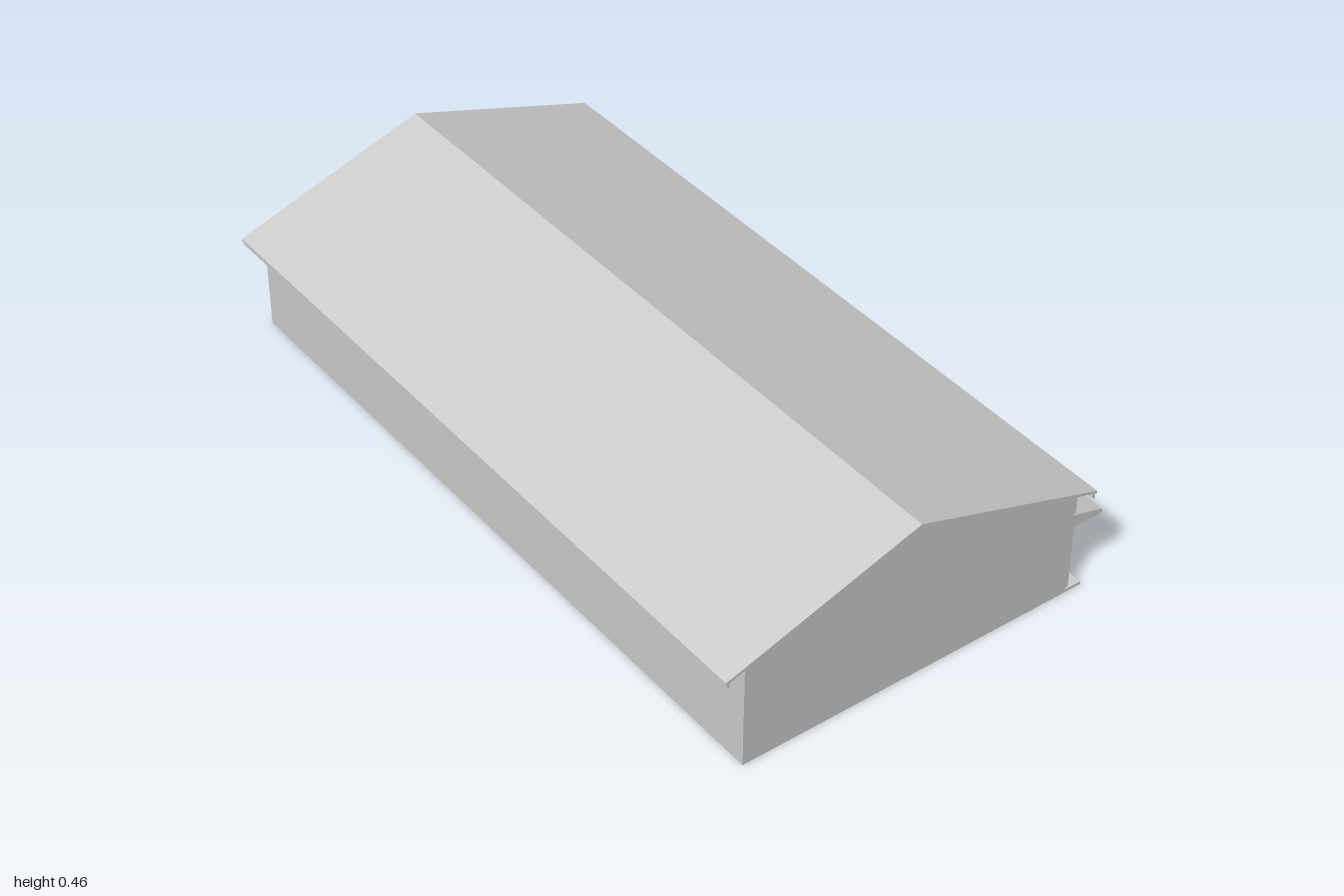
import * as THREE from 'three';

const grey = new THREE.MeshStandardMaterial({ color: 0xcccccc });
grey.name = 'pale grey';

export function createModel() {
  const model = new THREE.Group();
  model.name = 'hall';

  const add = (name, geometry) => {
    const mesh = new THREE.Mesh(geometry, grey);
    mesh.name = name;
    model.add(mesh);
    return mesh;
  };
  // Box given by its limits on each axis
  const box = (name, x0, x1, y0, y1, z0, z1) =>
    add(name, new THREE.BoxGeometry(x1 - x0, y1 - y0, z1 - z0)
      .translate((x0 + x1) / 2, (y0 + y1) / 2, (z0 + z1) / 2));
  // Cross-section of [z, y] points swept from x0 to x1
  const sweep = (name, points, x0, x1) => {
    const shape = new THREE.Shape(points.map(([z, y]) => new THREE.Vector2(z, y)));
    const geometry = new THREE.ExtrudeGeometry(shape, { depth: x1 - x0, bevelEnabled: false });
    return add(name, geometry.rotateY(-Math.PI / 2).translate(x1, 0, 0));
  };

  const RIDGE = 0.018, SLOPE = 0.324, FRONT = 0.487, BACK = -0.445;
  const under = z => 0.447 - SLOPE * Math.abs(z - RIDGE);

  // Main body, gable end walls and the part around the open porch
  const gable = back => [
    [FRONT, 0], [FRONT, under(FRONT)], [RIDGE, under(RIDGE)], [back, under(back)], [back, 0],
  ];
  sweep('mainHall', gable(BACK), -0.72, 0.978);
  sweep('leftGableWall', gable(-0.453), 0.978, 0.99);
  sweep('rightGableWall', gable(-0.453), -0.99, -0.972);
  const porchBack = -0.22;
  sweep('porchBay', [
    [FRONT, 0], [FRONT, under(FRONT)], [RIDGE, under(RIDGE)], [BACK, under(BACK)],
    [BACK, 0.25], [porchBack, 0.25], [porchBack, 0],
  ], -0.972, -0.72);

  // Roof slab with gutters along both eaves
  const eaveF = 0.545, eaveB = -0.512;
  sweep('roof', [
    [eaveF, 0.276], [eaveF, 0.284], [RIDGE, 0.455], [eaveB, 0.284], [eaveB, 0.276], [RIDGE, 0.447],
  ], -1, 1);
  box('frontGutter', -1, 1, 0.265, 0.281, 0.536, 0.541);
  box('backGutter', -1, 1, 0.265, 0.281, -0.507, -0.502);

  // Back walkway and porch floor
  box('walkway', -0.99, 0.99, 0, 0.008, -0.502, BACK);
  box('porchFloor', -0.972, -0.72, 0, 0.008, BACK, porchBack);

  // Porch opening: header, jamb and a framed inner door
  box('porchHeader', -0.972, -0.72, 0.25, 0.285, -0.455, BACK);
  box('porchJamb', -0.735, -0.715, 0.008, 0.285, -0.465, BACK);
  for (const x of [-0.93, -0.77]) box('doorFrame', x, x + 0.01, 0.008, 0.2, porchBack - 0.008, porchBack);
  box('doorFrameTop', -0.93, -0.76, 0.2, 0.21, porchBack - 0.008, porchBack);

  // Facade rails below and above the awning
  box('sillRail', -0.72, 0.978, 0.008, 0.024, -0.457, BACK);
  box('headRail', -0.5, 0.978, 0.182, 0.198, -0.457, BACK);
  box('clerestoryRail', -0.72, 0.978, 0.235, 0.247, -0.457, BACK);
  box('topRail', -0.72, 0.978, 0.278, 0.29, -0.457, BACK);
  box('plainPanel', -0.7, -0.515, 0.03, 0.225, -0.45, BACK);

  // Six bays of folding doors between posts
  const bayStart = -0.5, bayWidth = 1.48 / 6;
  for (let i = 0; i <= 6; i++) {
    const x = bayStart + i * bayWidth;
    box('post', x - 0.006, x + 0.006, 0.008, 0.29, -0.466, BACK);
    if (i === 6) break;
    const leaf = bayWidth / 4;
    for (let j = 1; j < 4; j++) {
      const s = x + j * leaf;
      box('doorStile', s - 0.005, s + 0.005, 0.024, 0.182, -0.457, BACK);
      box('clerestoryMullion', s - 0.003, s + 0.003, 0.247, 0.278, -0.455, BACK);
    }
    for (const s of [-1, 1]) {
      const h = x + 1.5 * leaf + s * 0.012;
      box('doorLeaf', h - 0.009, h + 0.009, 0.03, 0.176, -0.451, BACK);
      box('doorHandle', h - 0.002, h + 0.002, 0.09, 0.1, -0.458, -0.451);
    }
  }

  // Sloping awning over the doors
  sweep('awning', [[BACK, 0.195], [BACK, 0.236], [-0.546, 0.207], [-0.546, 0.196]], -0.5, 0.99);

  return model;
}
